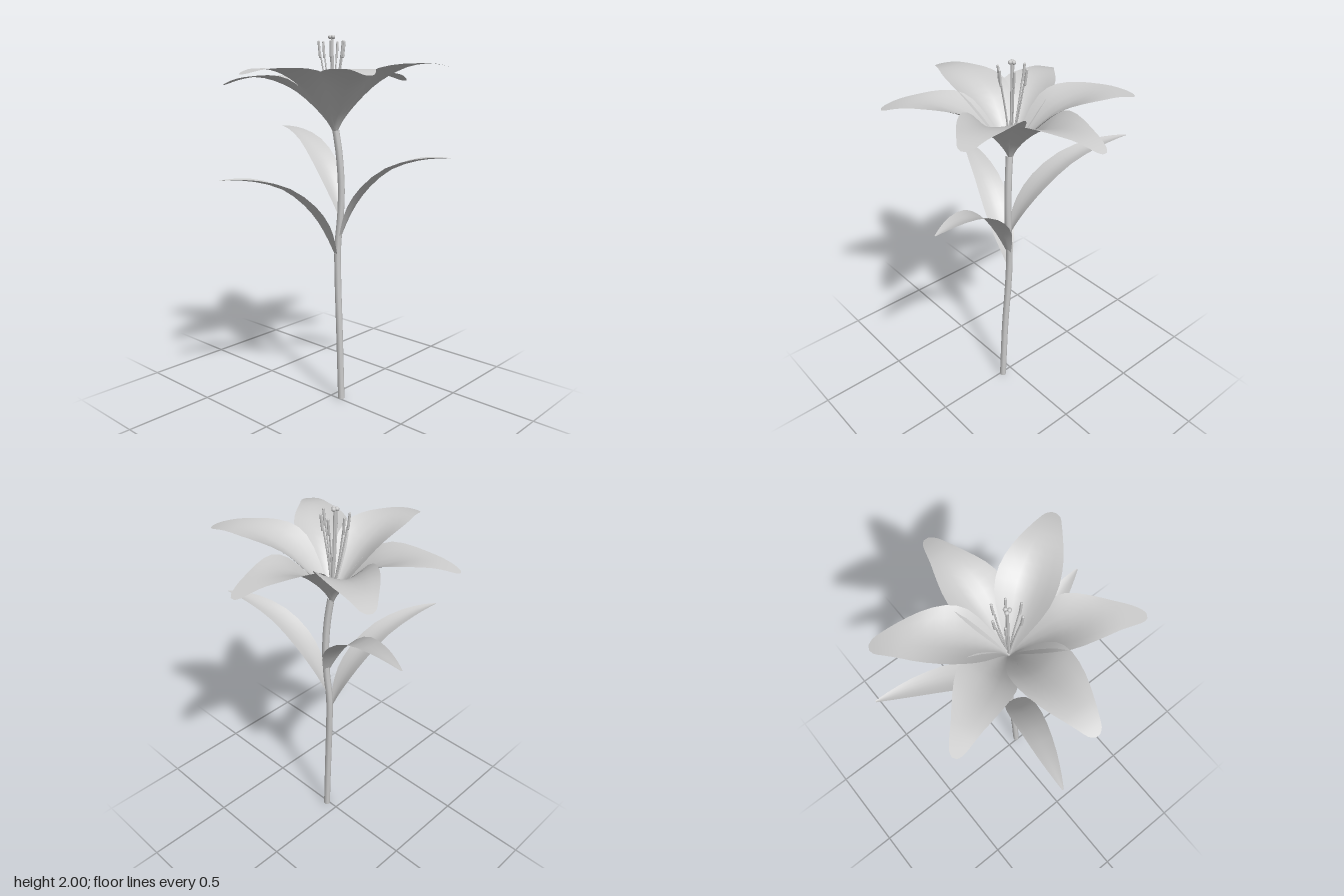
import * as THREE from 'three';

const grey = new THREE.MeshStandardMaterial({ color: 0xcccccc });
const thin = new THREE.MeshStandardMaterial({ color: 0xcccccc, side: THREE.DoubleSide });
const V = (x, y, z) => new THREE.Vector3(x, y, z);

// Stations along a blade: [fraction of reach, height, half width]
const WIDE_PETAL = [
  [0, 1.485, 0.01], [0.07, 1.56, 0.032], [0.18, 1.64, 0.08], [0.33, 1.725, 0.132], [0.46, 1.775, 0.143],
  [0.62, 1.815, 0.122], [0.78, 1.828, 0.085], [0.9, 1.818, 0.055], [0.97, 1.806, 0.035], [1, 1.8, 0.012],
];
const SLIM_PETAL = [
  [0, 1.485, 0.01], [0.07, 1.56, 0.032], [0.18, 1.64, 0.075], [0.33, 1.725, 0.122], [0.46, 1.775, 0.137],
  [0.62, 1.815, 0.108], [0.78, 1.828, 0.071], [0.9, 1.818, 0.048], [0.97, 1.806, 0.03], [1, 1.8, 0.012],
];
const LEAF = [
  [0, 0, 0.014], [0.05, 0.17, 0.037], [0.13, 0.38, 0.064], [0.27, 0.62, 0.078],
  [0.48, 0.845, 0.07], [0.72, 0.96, 0.048], [0.9, 0.995, 0.022], [1, 1, 0.004],
];

// Curved blade from a base point to a tip; cup(f) lifts its edges
function blade(name, base, tip, stations, height, cup, rows) {
  const reach = Math.hypot(tip.x - base.x, tip.z - base.z);
  const dir = V(tip.x - base.x, 0, tip.z - base.z).normalize();
  const side = dir.clone().cross(V(0, 1, 0));
  const rib = new THREE.CatmullRomCurve3(
    stations.map(([f, y, w]) => V(f * reach, height(f, y), w)), false, 'centripetal');
  const cols = 6, pos = [], idx = [];
  for (let i = 0; i <= rows; i++) {
    const p = rib.getPoint(i / rows), t = rib.getTangent(i / rows);
    const along = dir.clone().multiplyScalar(t.x).add(V(0, t.y, 0)).normalize();
    const normal = side.clone().cross(along);
    for (let j = 0; j <= cols; j++) {
      const u = (j / cols) * 2 - 1;
      const q = V(base.x, p.y, base.z).addScaledVector(dir, p.x)
        .addScaledVector(side, u * p.z)
        .addScaledVector(normal, cup(p.x / reach) * p.z * Math.pow(Math.abs(u), 1.6));
      pos.push(q.x, q.y, q.z);
      if (i < rows && j < cols) {
        const a = i * (cols + 1) + j, c = a + cols + 1;
        idx.push(a, a + 1, c, a + 1, c + 1, c);
      }
    }
  }
  const geo = new THREE.BufferGeometry();
  geo.setAttribute('position', new THREE.Float32BufferAttribute(pos, 3));
  geo.setIndex(idx);
  geo.computeVertexNormals();
  const mesh = new THREE.Mesh(geo, thin);
  mesh.name = name;
  return mesh;
}

function tube(name, points, radius, segments, sides) {
  const geo = new THREE.TubeGeometry(new THREE.CatmullRomCurve3(points), segments, radius, sides);
  const mesh = new THREE.Mesh(geo, grey);
  mesh.name = name;
  return mesh;
}

export function createModel() {
  const model = new THREE.Group();
  model.name = 'flower';

  // Stem with a closed foot
  model.add(tube('stem', [
    V(0.068, 0, -0.012), V(0.05, 0.4, -0.015), V(0.031, 0.7, -0.022), V(0.026, 0.88, -0.026),
    V(0.038, 1.04, -0.033), V(0.043, 1.2, -0.035), V(0.034, 1.38, -0.028), V(0.018, 1.51, -0.018),
  ], 0.0185, 28, 8));
  const foot = new THREE.Mesh(new THREE.CircleGeometry(0.0185, 8).rotateX(Math.PI / 2), grey);
  foot.position.set(0.068, 0.001, -0.012);
  foot.name = 'stemFoot';
  model.add(foot);

  // Leaves arching off the stem
  const leaves = [
    ['frontLeaf', V(0.02, 0.83, -0.015), V(-0.172, 1.292, 0.618)],
    ['leftLeaf', V(0.04, 0.93, -0.033), V(0.618, 1.393, -0.208)],
    ['rightLeaf', V(0.04, 1.05, -0.033), V(-0.622, 1.495, -0.226)],
  ];
  for (const [name, base, tip] of leaves)
    model.add(blade(name, base, tip, LEAF, (f, y) => base.y + y * (tip.y - base.y), () => 0.22, 14));

  // Six petals in two alternating widths, cupped into a trumpet and flat towards the tips
  const petals = new THREE.Group();
  petals.name = 'petals';
  const tips = [
    V(0.005, 1.765, -0.628), V(0.53, 1.835, -0.328), V(0.522, 1.795, 0.318),
    V(-0.014, 1.8, 0.597), V(-0.528, 1.745, 0.285), V(-0.52, 1.785, -0.333),
  ];
  const petalCup = (f) => 0.45 * (1 - THREE.MathUtils.smoothstep(f, 0.3, 0.8));
  tips.forEach((tip, i) => petals.add(blade('petal', V(0.012, 0, -0.018), tip,
    i % 2 ? WIDE_PETAL : SLIM_PETAL, (f, y) => y + f * (tip.y - 1.8), petalCup, 18)));
  model.add(petals);

  // Stamens: thin filaments carrying long upright anthers
  const stamens = new THREE.Group();
  stamens.name = 'stamens';
  const spots = [[-0.03, -0.08], [0.03, -0.065], [0.068, -0.01], [0.035, 0.04], [-0.05, 0.035], [-0.07, -0.02]];
  for (const [x, z] of spots) {
    stamens.add(tube('filament', [
      V(0.012, 1.53, -0.018), V(x * 0.45, 1.72, z * 0.45 - 0.008), V(x * 0.9, 1.9, z * 0.9),
    ], 0.004, 8, 5));
    const anther = new THREE.Mesh(new THREE.CapsuleGeometry(0.0065, 0.075, 3, 6), grey);
    anther.position.set(x, 1.928, z);
    anther.rotation.set(z * 1.5, 0, -x * 1.5);
    anther.name = 'anther';
    stamens.add(anther);
  }
  model.add(stamens);

  // Pistil with a three-lobed stigma
  const pistil = new THREE.Group();
  pistil.name = 'pistil';
  pistil.add(tube('style', [V(0.012, 1.52, -0.018), V(0.002, 1.75, -0.014), V(-0.004, 1.985, -0.012)], 0.007, 8, 6));
  for (let i = 0; i < 3; i++) {
    const a = (i * 2 * Math.PI) / 3 + 0.3;
    const lobe = new THREE.Mesh(new THREE.SphereGeometry(0.011, 8, 6), grey);
    lobe.position.set(-0.004 + Math.cos(a) * 0.01, 1.989, -0.012 + Math.sin(a) * 0.01);
    lobe.name = 'stigmaLobe';
    pistil.add(lobe);
  }
  model.add(pistil);

  return model;
}
